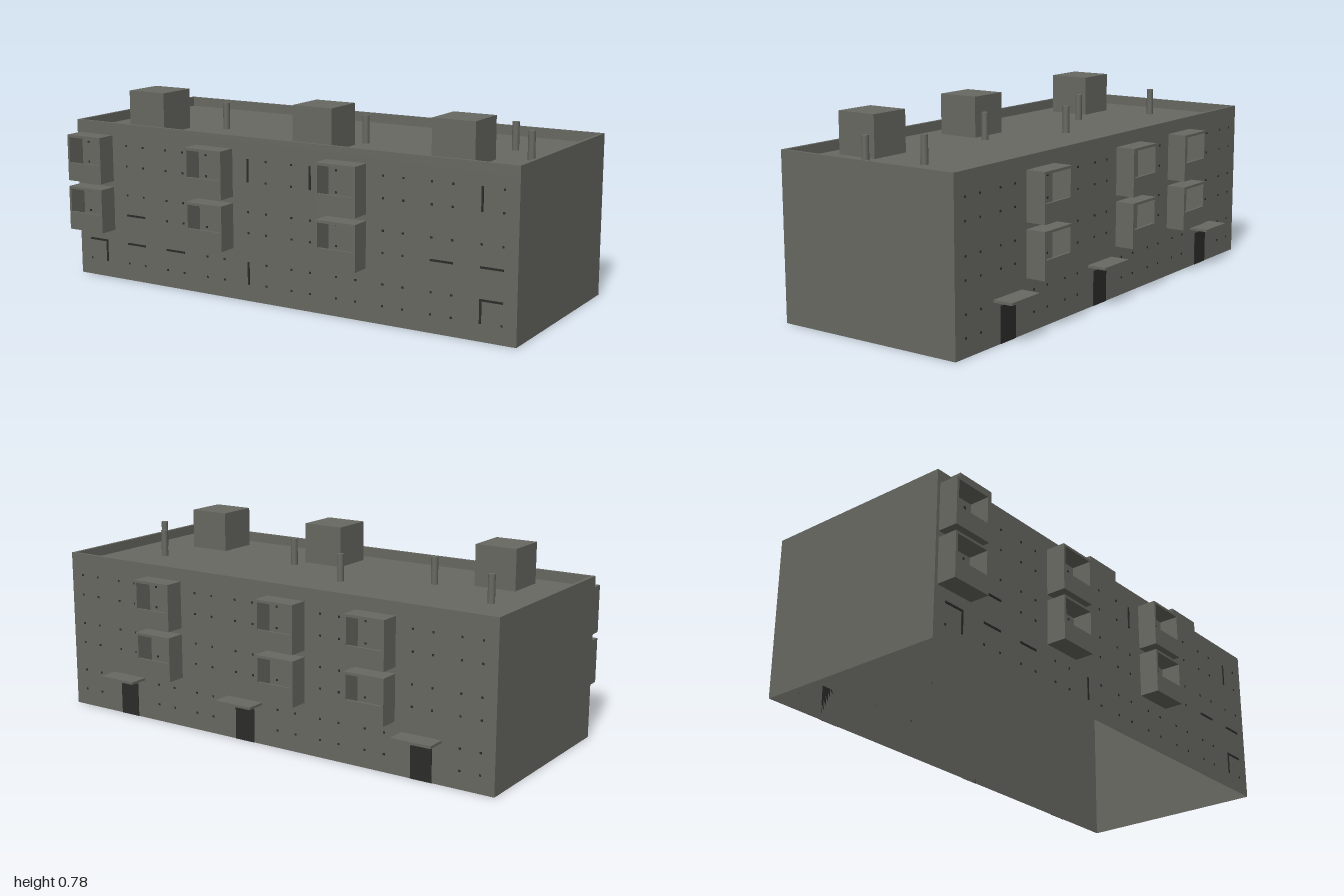
import * as THREE from 'three';

export function createModel() {
  const model = new THREE.Group();
  const concrete = new THREE.MeshStandardMaterial({ color: 0x686862, side: THREE.DoubleSide });
  concrete.name = 'concrete';
  const dark = new THREE.MeshStandardMaterial({ color: 0x2b2b2a });
  dark.name = 'dark trim';

  const H = 0.655, ROOF = 0.615, HALF_D = 0.4;

  // Box given by its min and max corners
  function block(parent, name, mat, x0, x1, y0, y1, z0, z1) {
    const mesh = new THREE.Mesh(new THREE.BoxGeometry(x1 - x0, y1 - y0, z1 - z0), mat);
    mesh.position.set((x0 + x1) / 2, (y0 + y1) / 2, (z0 + z1) / 2);
    mesh.name = name;
    parent.add(mesh);
    return mesh;
  }

  // Building shell with flat roof, open at the bottom
  const shell = block(model, 'walls', concrete, -1, 1, 0, ROOF, -HALF_D, HALF_D);
  const index = Array.from(shell.geometry.index.array);
  index.splice(18, 6);
  shell.geometry.setIndex(index);
  shell.geometry.clearGroups();

  // Parapet around the roof
  const t = 0.014;
  const ring = new THREE.Shape([
    new THREE.Vector2(-1, -HALF_D), new THREE.Vector2(1, -HALF_D),
    new THREE.Vector2(1, HALF_D), new THREE.Vector2(-1, HALF_D)]);
  ring.holes.push(new THREE.Path([
    new THREE.Vector2(-1 + t, -HALF_D + t), new THREE.Vector2(-1 + t, HALF_D - t),
    new THREE.Vector2(1 - t, HALF_D - t), new THREE.Vector2(1 - t, -HALF_D + t)]));
  const parapet = new THREE.Mesh(
    new THREE.ExtrudeGeometry(ring, { depth: H - ROOF, bevelEnabled: false }).rotateX(-Math.PI / 2), concrete);
  parapet.position.y = ROOF;
  parapet.name = 'parapet';
  model.add(parapet);

  // Roof housings
  for (const x of [-0.7, 0.0975, 0.6975])
    block(model, 'roofHousing', concrete, x - 0.0875, x + 0.0875, ROOF, 0.78, 0.14, 0.314);

  // Vent pipes in two staggered rows
  const pipeGeo = new THREE.CylinderGeometry(0.014, 0.014, 0.725 - ROOF, 12);
  [[-0.8, -0.08], [-0.468, 0.08], [-0.135, -0.08], [0.2, 0.08], [0.765, -0.08], [0.9, 0.08]].forEach(([x, z]) => {
    const pipe = new THREE.Mesh(pipeGeo, concrete);
    pipe.position.set(x, (0.725 + ROOF) / 2, z);
    pipe.name = 'ventPipe';
    model.add(pipe);
  });

  // Each facade is built facing +z; the back one is turned round
  function facade(name) {
    const g = new THREE.Group();
    g.name = name;
    model.add(g);
    return g;
  }
  const front = facade('frontFacade');
  const back = facade('backFacade');
  back.rotation.y = Math.PI;

  // Enclosed balcony: floor, ceiling, side walls and a low front panel
  function balcony(parent, x, y0, y1) {
    const g = new THREE.Group();
    g.name = 'balcony';
    parent.add(g);
    const w = 0.086, th = 0.01, z0 = HALF_D, z1 = 0.48;
    block(g, 'floor', concrete, x - w, x + w, y0, y0 + th, z0, z1);
    block(g, 'ceiling', concrete, x - w, x + w, y1 - th, y1, z0, z1);
    block(g, 'sideWall', concrete, x - w, x - w + th, y0 + th, y1 - th, z0, z1);
    block(g, 'sideWall', concrete, x + w - th, x + w, y0 + th, y1 - th, z0, z1);
    block(g, 'frontPanel', concrete, x - w + th, x + w - th, y0 + th, y0 + 0.075, z1 - th, z1);
  }
  const balconies = (parent, xs) => xs.forEach((x) => {
    balcony(parent, x, 0.206, 0.387);
    balcony(parent, x, 0.412, 0.603);
  });
  balconies(front, [-0.9, -0.3, 0.3]);
  balconies(back, [-0.5, 0.1, 0.5]);

  // Back doors with canopies
  const doors = [-0.7, -0.1, 0.7];
  for (const x of doors) {
    block(back, 'door', dark, x - 0.045, x + 0.045, 0, 0.14, HALF_D, HALF_D + 0.002);
    block(back, 'canopy', concrete, x - 0.084, x + 0.084, 0.161, 0.171, HALF_D, 0.48);
  }

  // Window corner marks, ten columns by three floors
  const rows = [0.113, 0.317, 0.523], s = 0.042, r = 0.004;
  const colX = (c) => -0.9 + 0.2 * c;
  function windows(parent, skip) {
    rows.forEach((y, row) => {
      for (let c = 0; c < 10; c++) {
        const x = colX(c);
        if (row === 0 && skip.some((d) => Math.abs(d - x) < 0.05)) continue;
        for (const i of [-s, s]) for (const j of [-s, s])
          block(parent, 'windowCorner', dark, x + i - r, x + i + r, y + j - r, y + j + r, HALF_D, HALF_D + 0.002);
      }
    });
  }
  windows(front, []);
  windows(back, doors);

  // Exposed frame bars on the front: row, column, sides
  [[0, 0, 'TR'], [0, 1, 'T'], [0, 2, 'T'], [0, 4, 'L'], [0, 9, 'LT'], [1, 1, 'B'], [1, 8, 'B'],
    [1, 9, 'B'], [2, 0, 'R'], [2, 4, 'L'], [2, 5, 'R'], [2, 9, 'L']].forEach(([row, c, sides]) => {
    const x = colX(c), y = rows[row], e = s + r;
    for (const side of sides) {
      const sign = side === 'T' || side === 'R' ? 1 : -1;
      const a = sign * s;
      if (side === 'T' || side === 'B')
        block(front, 'windowBar', dark, x - e, x + e, y + a - r, y + a + r, HALF_D, HALF_D + 0.003);
      else
        block(front, 'windowBar', dark, x + a - r, x + a + r, y - e, y + e, HALF_D, HALF_D + 0.003);
    }
  });

  return model;
}
